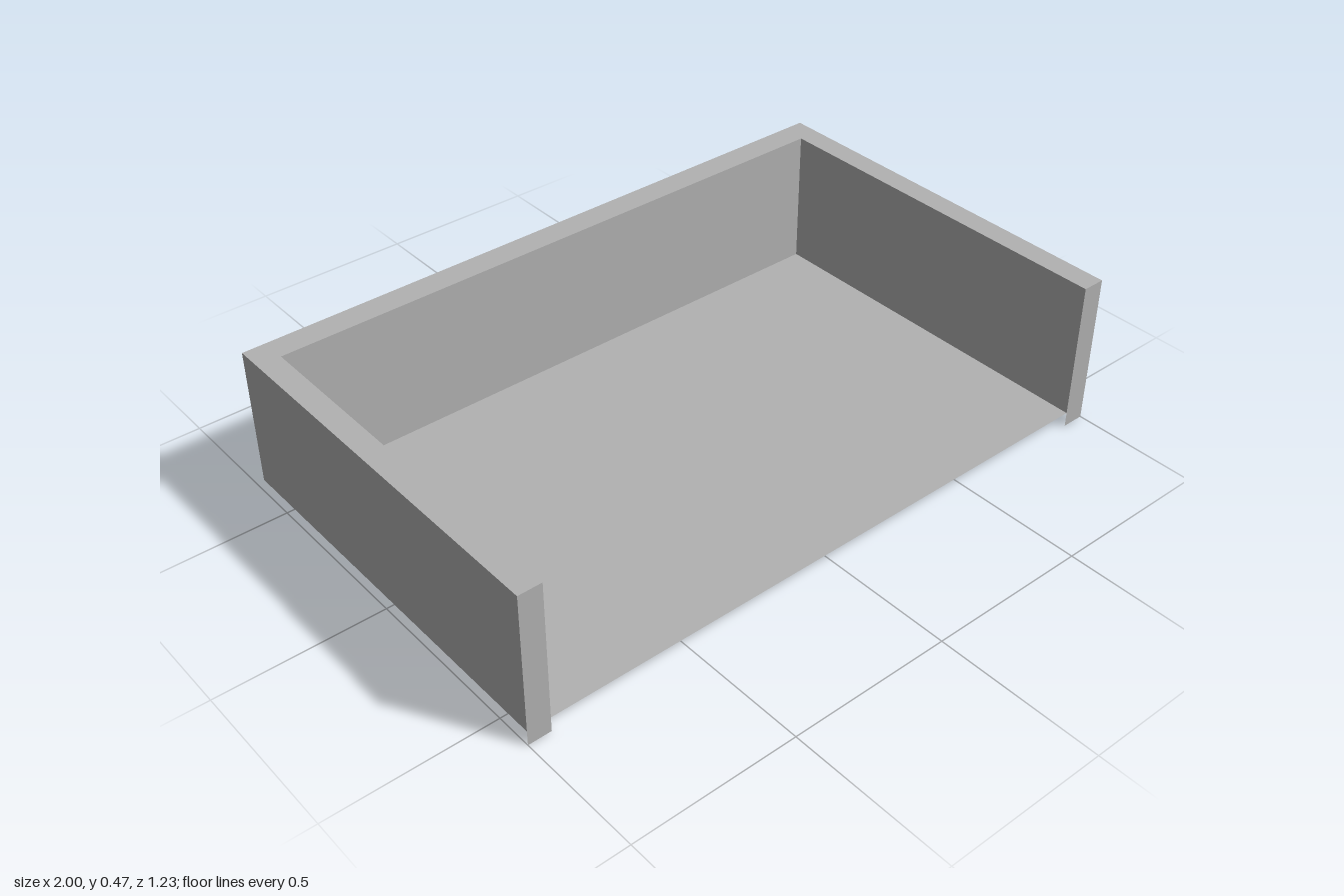
import * as THREE from 'three';

export function createModel() {
  const group = new THREE.Group();
  group.name = 'openTray';
  const grey = new THREE.MeshStandardMaterial({ color: 0xb2b2b2, side: THREE.DoubleSide });
  grey.name = 'plainGrey';

  const X = 1, Z = 0.613;            // outer half width and half depth
  const inX = 0.93, inBack = -0.533; // inner wall positions
  const low = 0.046, top = 0.472;    // wall bottom and top
  const wallH = top - low, midY = (top + low) / 2;

  function add(name, geometry, x, y, z, rx = 0, ry = 0) {
    const mesh = new THREE.Mesh(geometry, grey);
    mesh.name = name;
    mesh.position.set(x, y, z);
    mesh.rotation.set(rx, ry, 0);
    group.add(mesh);
  }

  // Single-skin floor, level with the bottom of the walls
  const innerDepth = Z - inBack;
  add('floor', new THREE.PlaneGeometry(2 * inX, innerDepth), 0, low, (Z + inBack) / 2, -Math.PI / 2);

  // Back wall skins, hollow and open underneath
  add('backOuterWall', new THREE.PlaneGeometry(2 * X, wallH), 0, midY, -Z, 0, Math.PI);
  add('backInnerWall', new THREE.PlaneGeometry(2 * inX, wallH), 0, midY, inBack);

  // Side wall skins and the front end strips that reach the ground
  for (const [side, s] of [['left', 1], ['right', -1]]) {
    add(side + 'OuterWall', new THREE.PlaneGeometry(2 * Z, wallH), s * X, midY, 0, 0, s * Math.PI / 2);
    add(side + 'InnerWall', new THREE.PlaneGeometry(innerDepth, wallH),
      s * inX, midY, (Z + inBack) / 2, 0, -s * Math.PI / 2);
    add(side + 'FrontStrip', new THREE.PlaneGeometry(X - inX, top), s * (X + inX) / 2, top / 2, Z);
  }

  // U-shaped top rim joining the skins
  const rim = new THREE.Shape([
    [-X, -Z], [-inX, -Z], [-inX, -inBack], [inX, -inBack],
    [inX, -Z], [X, -Z], [X, Z], [-X, Z],
  ].map(([x, y]) => new THREE.Vector2(x, y)));
  add('topRim', new THREE.ShapeGeometry(rim), 0, top, 0, -Math.PI / 2);

  return group;
}
